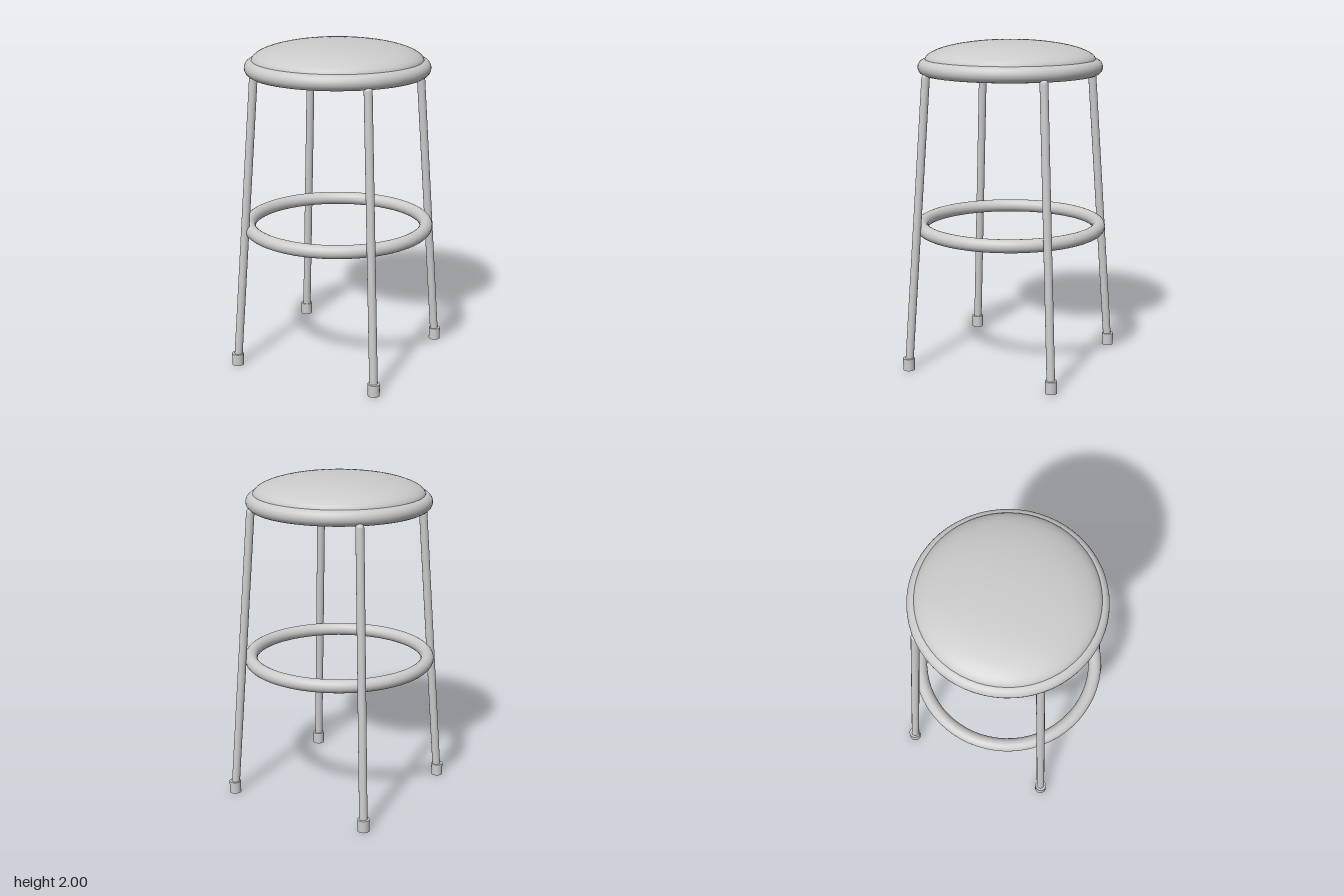
import * as THREE from 'three';

const material = new THREE.MeshStandardMaterial({ color: 0xcccccc });

function addMesh(parent, name, geometry, x, y, z) {
  const mesh = new THREE.Mesh(geometry, material);
  mesh.name = name;
  mesh.position.set(x, y, z);
  parent.add(mesh);
  return mesh;
}

// Horizontal tubular hoop
function hoop(radius, tube) {
  return new THREE.TorusGeometry(radius, tube, 20, 64).rotateX(Math.PI / 2);
}

// Round-ended rod running between two points
function addRod(parent, name, from, to, radius) {
  const axis = to.clone().sub(from);
  const mid = from.clone().add(to).multiplyScalar(0.5);
  const geometry = new THREE.CapsuleGeometry(radius, axis.length() - 2 * radius, 6, 18);
  const rod = addMesh(parent, name, geometry, mid.x, mid.y, mid.z);
  rod.quaternion.setFromUnitVectors(new THREE.Vector3(0, 1, 0), axis.normalize());
}

export function createModel() {
  const stool = new THREE.Group();
  stool.name = 'stool';
  const cx = -0.009, cz = 0.007; // centre of the seat and hoops

  // Domed cushion inside the seat rim
  const dome = new THREE.SphereGeometry(0.516, 64, 32).scale(1, 0.118 / 0.516, 1);
  addMesh(stool, 'seatCushion', dome, cx, 1.882, cz);
  addMesh(stool, 'seatRim', hoop(0.511, 0.047), cx, 1.841, cz);

  // Foot rest hoop
  addMesh(stool, 'footRing', hoop(0.547, 0.04), cx, 0.862, cz);

  // Splayed legs with upright rubber feet: [name, foot x, foot z, top x, top z]
  const legs = [
    ['left', 0.662, 0.007, 0.524, 0.007],
    ['right', -0.662, 0, -0.524, 0],
    ['front', -0.006, 0.675, -0.006, 0.538],
    ['back', -0.01, -0.675, -0.01, -0.534],
  ];
  for (const [side, fx, fz, tx, tz] of legs) {
    const leg = new THREE.Group();
    leg.name = side + 'Leg';
    addRod(leg, 'legTube', new THREE.Vector3(fx, 0.01, fz), new THREE.Vector3(tx, 1.815, tz), 0.025);
    addMesh(leg, 'foot', new THREE.CylinderGeometry(0.036, 0.036, 0.074, 24), fx, 0.037, fz);
    stool.add(leg);
  }
  return stool;
}
